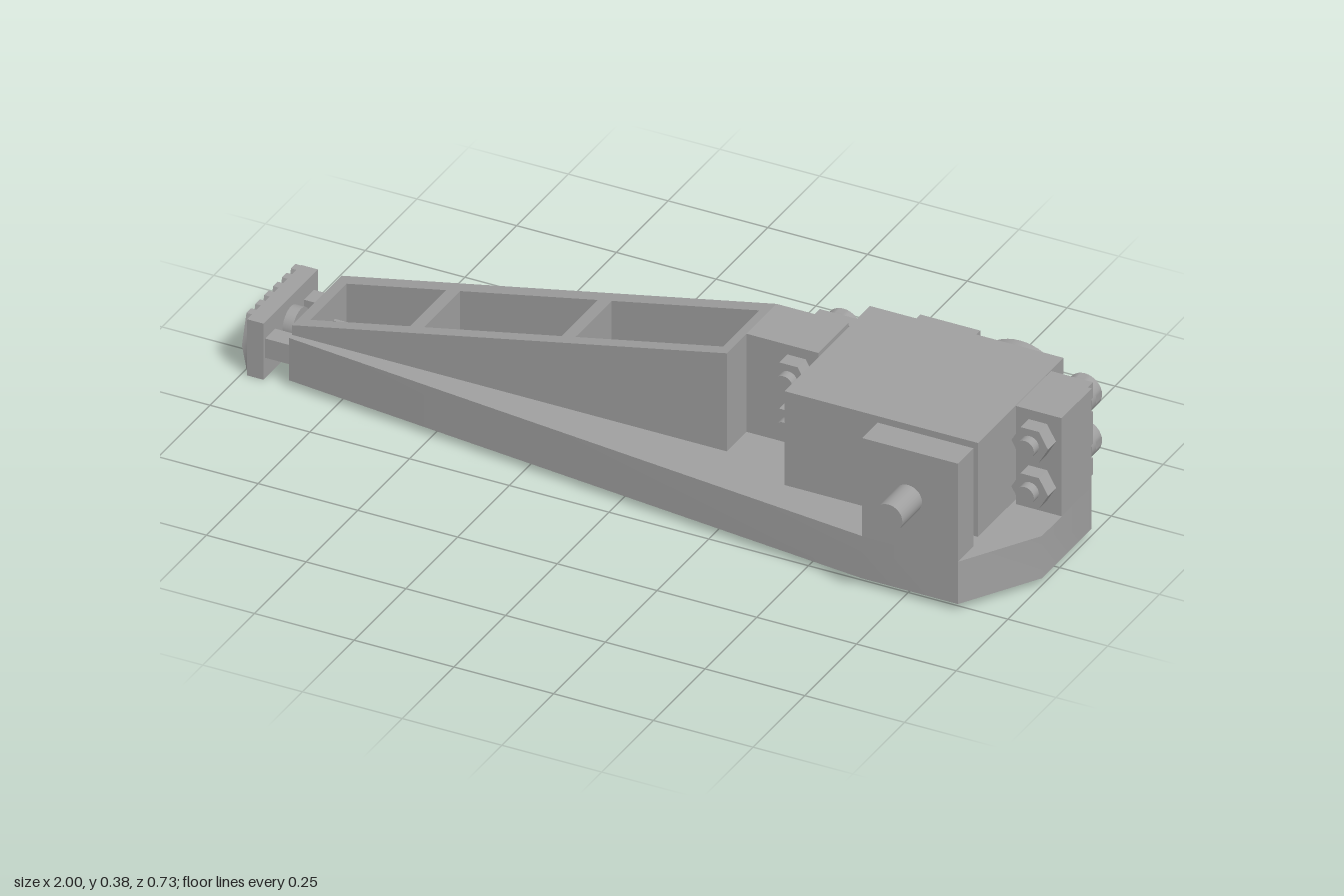
import * as THREE from 'three';
import { toCreasedNormals } from 'three/addons/utils/BufferGeometryUtils.js';

export function createModel() {
  const model = new THREE.Group();
  const grey = new THREE.MeshStandardMaterial({ color: 0xa0a0a0 });
  grey.name = 'machine grey';

  const add = (name, geo) => {
    const m = new THREE.Mesh(geo, grey);
    m.name = name;
    model.add(m);
    return m;
  };
  const box = (name, x0, x1, y0, y1, z0, z1) => add(name,
    new THREE.BoxGeometry(x1 - x0, y1 - y0, z1 - z0)
      .translate((x0 + x1) / 2, (y0 + y1) / 2, (z0 + z1) / 2));
  const poly = (pts) => new THREE.Shape(pts.map(([x, y]) => new THREE.Vector2(x, y)));
  const ring = (n, r, a0 = 0) => Array.from({ length: n }, (_, i) => {
    const a = a0 + i / n * Math.PI * 2;
    return [r * Math.cos(a), r * Math.sin(a)];
  });
  const extrude = (shape, depth) => toCreasedNormals(
    new THREE.ExtrudeGeometry(shape, { depth, bevelEnabled: false, curveSegments: 16 }), 0.6);
  // Shape drawn in x and y, extruded from z0 to z1
  const slab = (name, shape, z0, z1, x = 0, y = 0) =>
    add(name, extrude(shape, z1 - z0).translate(x, y, z0));
  const cylZ = (name, x, y, r, z0, z1, sides = 32) => add(name,
    new THREE.CylinderGeometry(r, r, z1 - z0, sides).rotateX(Math.PI / 2).translate(x, y, (z0 + z1) / 2));
  const cylX = (name, y, z, r, x0, x1, sides = 24) => add(name,
    new THREE.CylinderGeometry(r, r, x1 - x0, sides).rotateZ(Math.PI / 2).translate((x0 + x1) / 2, y, z));

  // Base plate with three openings
  const base = poly([[-0.88, -0.10], [0.645, -0.27], [0.885, -0.27], [1, -0.085], [1, 0.155], [-0.88, 0.155]]);
  const bays = [[-0.85, -0.6], [-0.565, -0.22], [-0.185, 0.185]];
  for (const [a, b] of bays) {
    base.holes.push(poly([[a, -0.055], [a, 0.12], [b, 0.12], [b, -0.055]]));
  }
  add('basePlate', extrude(base, 0.11).rotateX(-Math.PI / 2).translate(0, 0.02, 0));

  // Tapered arm: side walls and cross walls under one sloping top line
  const topY = (x) => 0.155 + (Math.min(x, 0.21) + 0.88) * 0.211;
  const wall = (name, x0, x1, z0, z1) =>
    slab(name, poly([[x0, 0.13], [x1, 0.13], [x1, topY(x1)], [x0, topY(x0)]]), z0, z1);
  wall('armBackWall', -0.88, 0.21, -0.155, -0.12);
  wall('armFrontWall', -0.88, 0.21, 0.055, 0.085);
  for (const [a, b] of [[-0.88, -0.85], [-0.6, -0.565], [-0.22, -0.185], [0.185, 0.21]]) {
    wall('armCrossWall', a, b, -0.12, 0.055);
  }

  // Posts around the motor
  box('innerPost', 0.21, 0.39, 0.13, 0.385, -0.155, -0.01);
  box('outerPost', 0.885, 1, 0.13, 0.385, -0.155, -0.01);
  box('frontPost', 0.645, 0.885, 0.13, 0.385, 0.195, 0.27);
  cylZ('pivotPin', 0.76, 0.26, 0.035, 0.165, 0.365);

  // Motor body and slotted mounting ears
  box('motorBody', 0.395, 0.88, 0.136, 0.38, -0.25, 0.163);
  const ear = new THREE.Shape();
  ear.moveTo(0, 0.138).lineTo(0.11, 0.138).lineTo(0.11, 0.378).lineTo(0, 0.378);
  for (const y of [0.32, 0.2]) {
    ear.lineTo(0, y + 0.018).lineTo(0.035, y + 0.018);
    ear.absarc(0.035, y, 0.018, Math.PI / 2, -Math.PI / 2, true);
    ear.lineTo(0, y - 0.018);
  }
  ear.closePath();
  slab('innerEar', ear, -0.19, -0.156, 0.3);
  add('outerEar', extrude(ear, 0.034).rotateY(Math.PI).translate(0.985, 0, -0.156));
  box('earRib', 0.87, 0.9, 0.252, 0.264, -0.208, -0.19);

  // Gear cover and output shaft
  const axis = [0.76, 0.26];
  cylZ('gearCover', ...axis, 0.12, -0.272, -0.25, 48);
  box('coverPlate', 0.51, 0.66, 0.14, 0.378, -0.272, -0.25);
  cylZ('gearBoss', 0.51, 0.26, 0.055, -0.268, -0.25);
  cylZ('bearingRing', ...axis, 0.073, -0.3, -0.27, 40);
  cylZ('bearingHub', ...axis, 0.06, -0.317, -0.3, 40);
  const spline = poly(ring(40, 1).map(([x, y], i) => {
    const r = i % 2 ? 0.020 : 0.025;
    return [x * r, y * r];
  }));
  spline.holes.push(poly(ring(16, 0.01).reverse()));
  slab('outputSpline', spline, -0.367, -0.317, ...axis);

  // Socket-head bolts and hex nuts
  const head = new THREE.Shape().absarc(0, 0, 0.043, 0, Math.PI * 2);
  head.holes.push(poly(ring(6, 0.022).reverse()));
  const nut = poly(ring(6, 0.046));
  for (const x of [0.335, 0.94]) {
    for (const y of [0.2, 0.32]) {
      slab('boltHead', head, -0.238, -0.21, x, y);
      cylZ('boltHeadBase', x, y, 0.043, -0.21, -0.19);
      cylZ('boltShank', x, y, 0.017, -0.19, -0.15, 20);
      slab('nut', nut, -0.01, 0.029, x, y);
      cylZ('boltEnd', x, y, 0.023, 0.029, 0.053, 24);
    }
  }

  // Gripping foot with raised chevrons
  box('footPad', -0.986, -0.945, 0.002, 0.148, -0.165, 0.098);
  const w = 0.022;
  const chevron = poly([[0, 0], [w, 0], [w + 0.022, 0.073], [w, 0.146], [0, 0.146], [0.022, 0.073]]);
  for (let i = 0; i < 6; i++) {
    add('footTread', extrude(chevron, 0.014).rotateY(-Math.PI / 2)
      .translate(-0.986, 0.002, -0.163 + i * 0.043));
  }
  // Guide blocks, screw and clip joining the foot to the arm
  for (const z of [-0.122, 0.066]) box('footGuide', -0.945, -0.88, 0.055, 0.105, z - 0.024, z + 0.024);
  cylX('screwHead', 0.08, -0.035, 0.042, -0.945, -0.92);
  cylX('screwShank', 0.08, -0.035, 0.022, -0.92, -0.83);
  for (const z of [-0.06, -0.012]) box('clipProng', -0.85, -0.8, 0.06, 0.1, z - 0.004, z + 0.004);

  return model;
}
